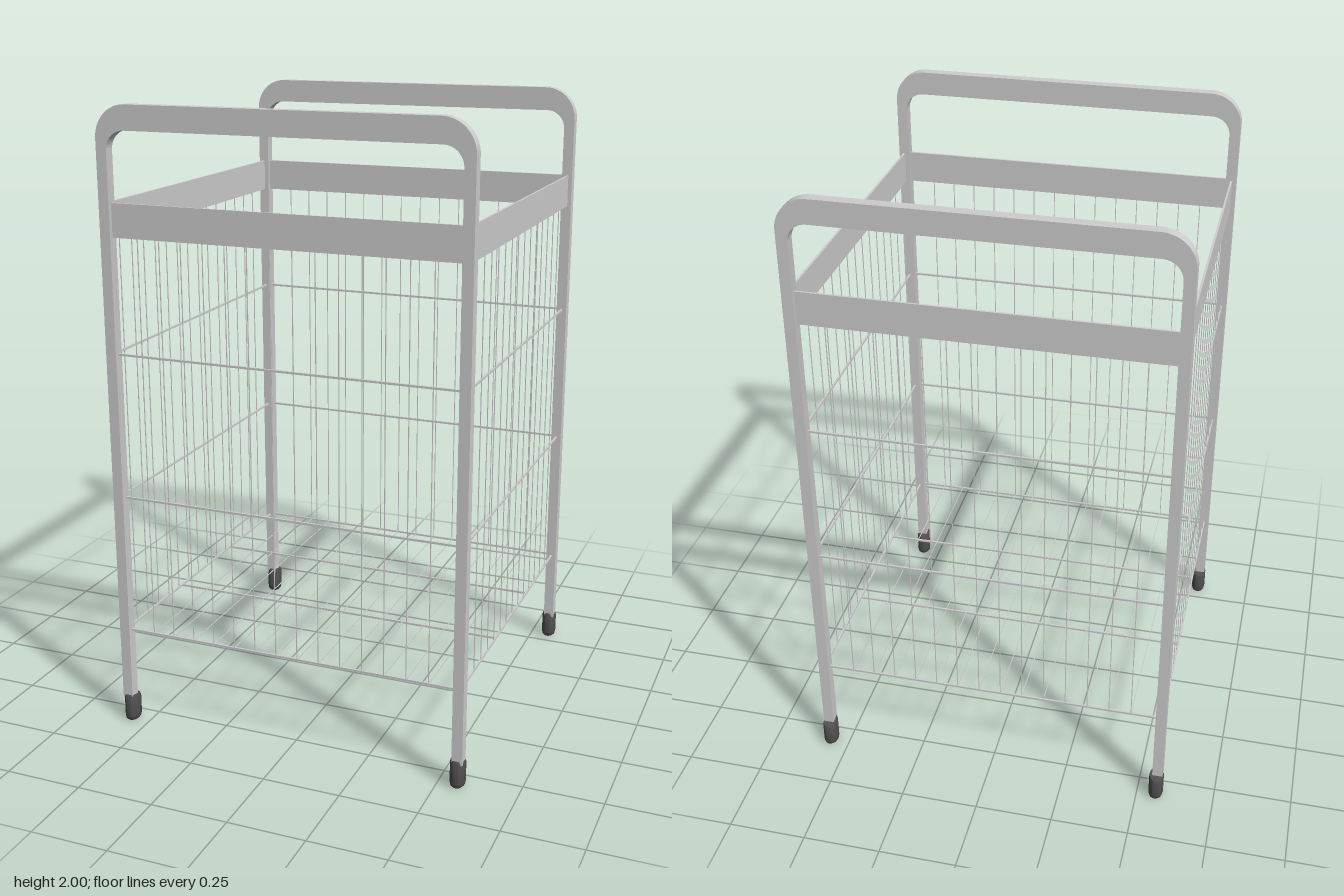
import * as THREE from 'three';
import { toCreasedNormals } from 'three/addons/utils/BufferGeometryUtils.js';

const FRONT = 0.568, BACK = -0.55, SIDE = 0.566;   // planes of the four walls
const DEPTH = FRONT - BACK, MID = (FRONT + BACK) / 2;
const FLOOR = 0.324, BAND = 1.606, PITCH = 0.0717;

export function createModel() {
  const metal = new THREE.MeshStandardMaterial({ color: 0xcecece });
  metal.name = 'light grey metal';
  const rubber = new THREE.MeshStandardMaterial({ color: 0x505050 });
  rubber.name = 'dark rubber';

  const model = new THREE.Group();
  model.name = 'wireBasketCart';

  function part(name, geometry, material, x, y, z, parent = model) {
    const mesh = new THREE.Mesh(geometry, material);
    mesh.name = name;
    mesh.position.set(x, y, z);
    parent.add(mesh);
    return mesh;
  }
  const box = (name, w, h, d, x, y, z, parent) =>
    part(name, new THREE.BoxGeometry(w, h, d), metal, x, y, z, parent);
  function group(name) {
    const g = new THREE.Group();
    g.name = name;
    model.add(g);
    return g;
  }

  // Arched frames: two legs joined by a deeper handle bar with rounded corners
  const legBottom = 0.08;
  const arch = new THREE.Shape();
  arch.moveTo(-0.582, legBottom);
  arch.lineTo(-0.582, 1.9);
  arch.absarc(-0.482, 1.9, 0.1, Math.PI, Math.PI / 2, true);
  arch.lineTo(0.482, 2);
  arch.absarc(0.482, 1.9, 0.1, Math.PI / 2, 0, true);
  arch.lineTo(0.582, legBottom);
  arch.lineTo(0.548, legBottom);
  arch.lineTo(0.548, 1.865);
  arch.absarc(0.488, 1.865, 0.06, 0, Math.PI / 2, false);
  arch.lineTo(-0.488, 1.925);
  arch.absarc(-0.488, 1.865, 0.06, Math.PI / 2, Math.PI, false);
  arch.lineTo(-0.548, legBottom);
  arch.closePath();
  const archGeometry = toCreasedNormals(
    new THREE.ExtrudeGeometry(arch, { depth: 0.035, bevelEnabled: false, curveSegments: 10 }), 0.6);
  part('frontFrame', archGeometry, metal, 0, 0, FRONT - 0.0175);
  part('backFrame', archGeometry, metal, 0, 0, BACK - 0.0175);

  // Feet: oval caps with rounded bottoms and a top that slopes down to the back
  const profile = [[0, 0], [0.7, 0], [0.92, 0.006], [1, 0.016], [1, 0.08], [0.9, 0.088], [0, 0.088]]
    .map(([r, y]) => new THREE.Vector2(r * 0.024, y));
  let foot = new THREE.LatheGeometry(profile, 20);
  foot.scale(1, 1, 1.375);
  const p = foot.attributes.position;
  for (let i = 0; i < p.count; i++) {
    if (p.getY(i) > 0.05) p.setY(i, p.getY(i) + p.getZ(i) * 0.2);
  }
  foot = toCreasedNormals(foot, 0.7);
  for (const x of [-1, 1]) {
    for (const z of [-1, 1]) part('foot', foot, rubber, x * 0.562, 0, z * 0.56);
  }

  // Flat band around the top of the basket
  const band = group('topBand');
  for (const z of [FRONT, BACK]) box('bandPlate', 1.1, 0.104, 0.007, 0, 1.658, z, band);
  for (const x of [-SIDE, SIDE]) box('bandPlate', 0.007, 0.104, DEPTH, x, 1.658, MID, band);

  // Horizontal rods around the basket, and two below the floor
  const rods = group('horizontalRods');
  const r = 0.0065;
  for (const y of [FLOOR, 0.78, 1.245]) {
    for (const z of [FRONT, BACK]) box('rod', SIDE * 2, r, r, 0, y, z, rods);
    for (const x of [-SIDE, SIDE]) box('rod', r, r, DEPTH, x, y, MID, rods);
  }
  for (const z of [-0.179, 0.195]) box('floorRod', SIDE * 2, r, r, 0, FLOOR, z, rods);

  // Thin wires down the four walls, and from front to back across the floor
  const wires = group('basketWires');
  const t = 0.0025, h = BAND - FLOOR, yMid = (BAND + FLOOR) / 2;
  for (let i = 0; i < 14; i++) {
    const x = (i - 6.5) * PITCH, z = 0.503 - i * PITCH;
    for (const wall of [FRONT, BACK]) box('wallWire', t, h, t, x, yMid, wall, wires);
    for (const wall of [-SIDE, SIDE]) box('wallWire', t, h, t, wall, yMid, z, wires);
    box('floorWire', t, t, DEPTH, x, FLOOR, MID, wires);
  }
  return model;
}
